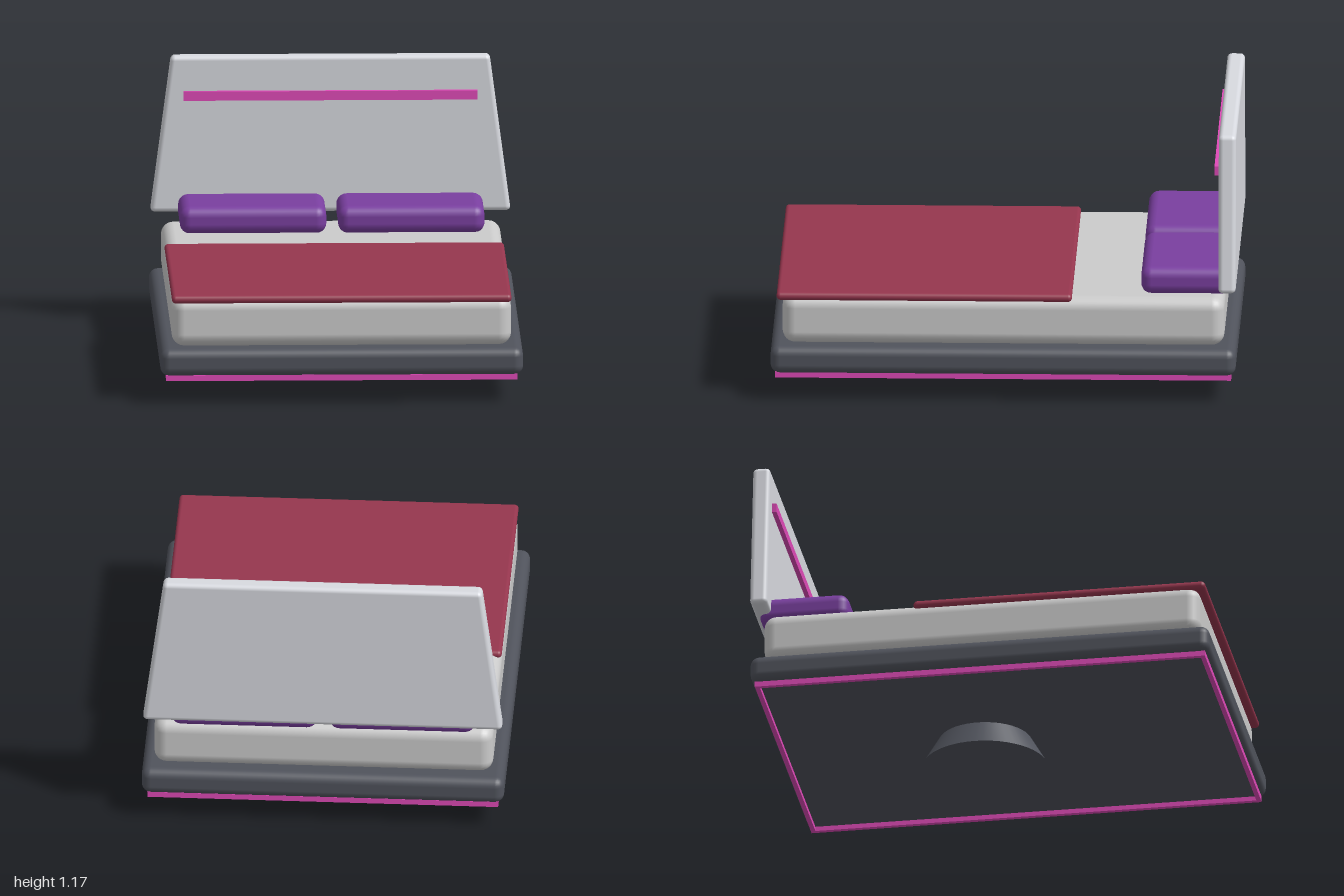
import * as THREE from 'three';
import { RoundedBoxGeometry } from 'three/addons/geometries/RoundedBoxGeometry.js';

const material = (color) => new THREE.MeshStandardMaterial({ color });

export function createModel() {
  const bed = new THREE.Group();
  bed.name = 'bed';

  const frameGrey = material(0x50535c);
  const mattressGrey = material(0xc4c4c4);
  const boardGrey = material(0xd8dae0);
  const purple = material(0x7a3fa0);
  const red = material(0x96364e);
  const pink = material(0xe04ab8);

  const add = (name, geometry, mat, parent = bed) => {
    const mesh = new THREE.Mesh(geometry, mat);
    mesh.name = name;
    parent.add(mesh);
    return mesh;
  };

  // Box given by its limits on each axis; a radius rounds the edges
  const block = (name, [x0, x1], [y0, y1], [z0, z1], radius, mat, parent) => {
    const size = [x1 - x0, y1 - y0, z1 - z0];
    const geometry = radius
      ? new RoundedBoxGeometry(...size, 3, radius)
      : new THREE.BoxGeometry(...size);
    const mesh = add(name, geometry, mat, parent);
    mesh.position.set((x0 + x1) / 2, (y0 + y1) / 2, (z0 + z1) / 2);
    return mesh;
  };

  // Flared pedestal and platform
  add('pedestal', new THREE.CylinderGeometry(0.2, 0.27, 0.12, 48), frameGrey)
    .position.set(0, 0.06, -0.1);
  block('platform', [-0.78, 0.78], [0.12, 0.24], [-1, 1], 0.04, frameGrey);

  // Light strip running round the underside
  const strip = new THREE.Group();
  strip.name = 'underLight';
  bed.add(strip);
  const w = 0.02, sx = 0.755, sz = 0.98, sy = [0.1, 0.125];
  for (const s of [-1, 1]) {
    const x = s * (sx - w / 2), z = s * (sz - w / 2);
    block('sideLight', [x - w / 2, x + w / 2], sy, [-sz, sz], 0, pink, strip);
    block('endLight', [w - sx, sx - w], sy, [z - w / 2, z + w / 2], 0, pink, strip);
  }

  // Bedding
  block('mattress', [-0.73, 0.73], [0.24, 0.455], [-0.95, 0.95], 0.055, mattressGrey);
  block('blanket', [-0.73, 0.73], [0.435, 0.47], [-0.295, 0.975], 0.017, red);
  block('leftPillow', [0.025, 0.655], [0.45, 0.57], [-0.98, -0.59], 0.045, purple);
  block('rightPillow', [-0.655, -0.025], [0.45, 0.57], [-0.98, -0.59], 0.045, purple);

  // Headboard: rounded slab narrowing toward the top
  const board = block('headboard', [-0.73, 0.73], [0.49, 1.17], [-1, -0.925], 0.02, boardGrey);
  const { position, normal } = board.geometry.attributes;
  const slope = -0.09 / 0.68 / 0.73;
  for (let i = 0; i < position.count; i++) {
    const x = position.getX(i), f = 1 + slope * position.getY(i);
    const nx = normal.getX(i) / f;
    const n = new THREE.Vector3(nx, normal.getY(i) - x * slope * nx, normal.getZ(i)).normalize();
    position.setX(i, x * f);
    normal.setXYZ(i, n.x, n.y, n.z);
  }
  block('headboardLight', [-0.632, 0.632], [0.98, 1.02], [-0.94, -0.905], 0, pink);

  return bed;
}
